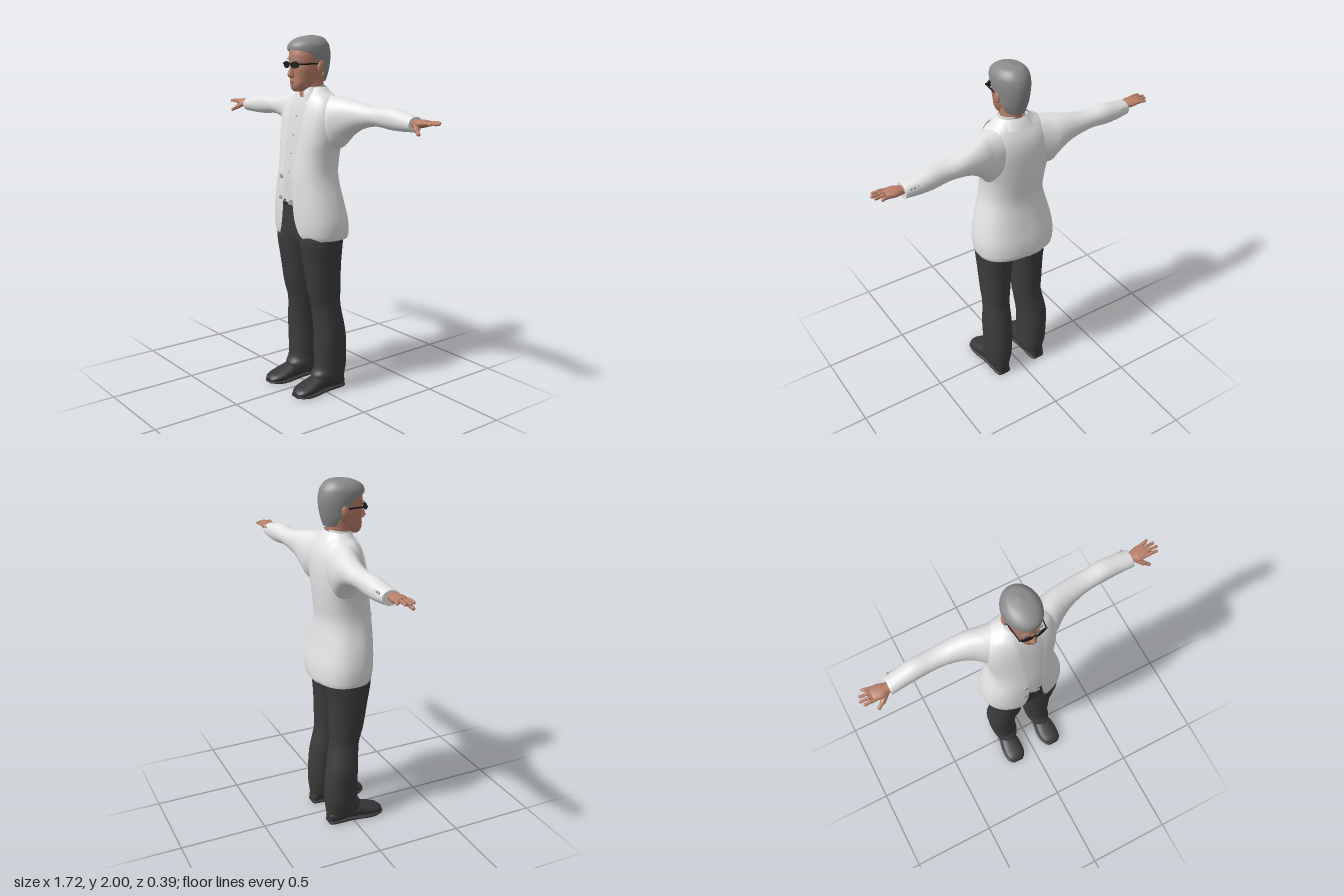
import * as THREE from 'three';
import { mergeVertices } from 'three/addons/utils/BufferGeometryUtils.js';

const mat = (name, color, side = THREE.FrontSide) => {
  const m = new THREE.MeshStandardMaterial({ color, side });
  m.name = name;
  return m;
};
const pw = (v, p) => Math.sign(v) * Math.abs(v) ** p;

// Catmull-Rom sample of a table of cross-sections
function sample(rows, u) {
  const n = rows.length - 1, f = u * n, i = Math.min(Math.floor(f), n - 1), t = f - i;
  const [a, b, c, d] = [-1, 0, 1, 2].map(k => rows[Math.min(n, Math.max(0, i + k))]);
  return b.map((_, k) => b[k] + 0.5 * t * (c[k] - a[k]
    + t * (2 * a[k] - 5 * b[k] + 4 * c[k] - d[k] + t * (3 * (b[k] - c[k]) + d[k] - a[k]))));
}

// Lofted skin. Row: [s, aMin, aMax, bMin, bMax, ...]; s runs along the axis.
// A span gives the angles of an open shell; without one the loft is closed and capped.
function loft(rows, { axis = 'y', p = 1, nu = 36, span, grow = 0, tilt = 0 } = {}) {
  const pos = [], idx = [], nv = (rows.length - 1) * 5;
  const rings = [];
  for (let j = 0; j <= nv; j++) rings.push([sample(rows, j / nv), 1]);
  if (!span) {
    const first = rings[0][0], last = rings[nv][0];
    rings.unshift([first, 0.001], [first, 0.94]);
    rings.push([last, 0.94], [last, 0.001]);
  }
  for (const [r, k] of rings) {
    const [s, a0, a1, b0, b1] = r;
    const [t0, t1] = span ? span(r) : [0, Math.PI * 2];
    for (let i = 0; i <= nu; i++) {
      const t = t0 + (t1 - t0) * i / nu;
      const a = (a0 + a1) / 2 + ((a1 - a0) / 2 + grow) * k * pw(Math.sin(t), p);
      const b = (b0 + b1) / 2 + ((b1 - b0) / 2 + grow) * k * pw(Math.cos(t), p);
      if (axis === 'y') pos.push(a, s + tilt * b, b);
      else if (axis === 'x') pos.push(s, b, a);
      else pos.push(b, a, s);
    }
  }
  const flip = rows[0][0] > rows[rows.length - 1][0], w = nu + 1;
  for (let j = 0; j < rings.length - 1; j++) for (let i = 0; i < nu; i++) {
    const a = j * w + i, b = a + 1, c = b + w, d = a + w;
    if (flip) idx.push(a, c, b, a, d, c); else idx.push(a, b, c, a, c, d);
  }
  let g = new THREE.BufferGeometry();
  g.setAttribute('position', new THREE.Float32BufferAttribute(pos, 3));
  g.setIndex(idx);
  g = mergeVertices(g, 1e-5);
  g.computeVertexNormals();
  return g;
}
// symmetric row: y, half width, back z, front z, extras
const sym = ([y, w, z0, z1, ...more]) => [y, -w, w, z0, z1, ...more];

export function createModel() {
  const M = {
    jacket: mat('jacket white', 0xe3e3e3, THREE.DoubleSide),
    shirt: mat('shirt white', 0xdcdcdc, THREE.DoubleSide),
    trousers: mat('charcoal', 0x3c3c3c),
    shoes: mat('shoe leather', 0x38383a),
    skin: mat('skin', 0xb98069),
    hair: mat('grey hair', 0x8b8b8b, THREE.DoubleSide),
    dark: mat('dark glass', 0x1d1d1f),
    lips: mat('lips', 0x97604f),
    button: mat('button grey', 0xa8a8a8),
  };
  const root = new THREE.Group();
  const add = (name, geo, m, x = 0, y = 0, z = 0) => {
    const mesh = new THREE.Mesh(geo, m);
    mesh.name = name;
    mesh.position.set(x, y, z);
    root.add(mesh);
    return mesh;
  };
  const box = (name, w, h, d, m, x, y, z) => add(name, new THREE.BoxGeometry(w, h, d), m, x, y, z);
  const ball = (name, sx, sy, sz, m, x, y, z) =>
    add(name, new THREE.SphereGeometry(1, 20, 14).scale(sx, sy, sz), m, x, y, z);
  const capsule = (name, a, b, r, m) => {
    const d = new THREE.Vector3().subVectors(b, a), mesh = add(name, new THREE.CapsuleGeometry(r, d.length(), 5, 10), m);
    mesh.position.addVectors(a, b).multiplyScalar(0.5);
    mesh.quaternion.setFromUnitVectors(new THREE.Vector3(0, 1, 0), d.normalize());
  };

  // Jacket: y, x range, z range, right and left front edge, lapel width
  const P = 0.85;
  const jacket = [
    [0.9, -0.235, 0.225, -0.19, 0.13, 0.105, 0.12, 0],
    [0.93, -0.24, 0.232, -0.195, 0.14, 0.078, 0.092, 0],
    [1.0, -0.24, 0.232, -0.19, 0.146, 0.05, 0.065, 0],
    [1.1, -0.222, 0.212, -0.17, 0.148, 0.036, 0.05, 0],
    [1.24, -0.185, 0.175, -0.148, 0.145, 0.036, 0.045, 0.003],
    [1.35, -0.186, 0.172, -0.156, 0.13, 0.045, 0.052, 0.035],
    [1.45, -0.205, 0.19, -0.163, 0.113, 0.052, 0.062, 0.058],
    [1.55, -0.213, 0.2, -0.163, 0.094, 0.057, 0.072, 0.068],
    [1.62, -0.2, 0.19, -0.15, 0.076, 0.06, 0.077, 0.054],
    [1.67, -0.165, 0.16, -0.125, 0.056, 0.066, 0.076, 0.035],
    [1.7, -0.115, 0.115, -0.105, 0.036, 0.068, 0.072, 0.02],
    [1.725, -0.085, 0.085, -0.088, 0.02, 0.065, 0.068, 0.01],
  ];
  // angle at which the front reaches a distance x from the centre, on side s
  const angle = (r, x, s) => {
    const ratio = Math.min(0.97, Math.max(0, (x - s * (r[1] + r[2]) / 2) / ((r[2] - r[1]) / 2)));
    return Math.asin(ratio ** (1 / P));
  };
  const TAU = Math.PI * 2;
  add('jacketBody', loft(jacket, { p: P, nu: 60, span: r => [angle(r, r[6], 1), TAU - angle(r, r[5], -1)] }), M.jacket);
  const lapelRows = jacket.slice(4);
  add('leftLapel', loft(lapelRows, { p: P, nu: 8, grow: 0.007, span: r => [angle(r, r[6], 1), angle(r, r[6] + r[7], 1)] }), M.jacket);
  add('rightLapel', loft(lapelRows, { p: P, nu: 8, grow: 0.007, span: r => [TAU - angle(r, r[5] + r[7], -1), TAU - angle(r, r[5], -1)] }), M.jacket);
  add('backVent', loft(jacket.slice(0, 4), { p: P, nu: 6, grow: 0.005, span: () => [Math.PI - 0.02, Math.PI + 0.3] }), M.jacket);
  add('jacketCollar', loft([[1.67, 0.125, -0.13, 0.06], [1.7, 0.1, -0.112, 0.048], [1.722, 0.085, -0.096, 0.035]].map(sym),
    { span: () => [0.85, TAU - 0.85], tilt: -0.08 }), M.jacket);
  for (const [x, y] of [[-0.052, 1.24], [-0.058, 1.12]])
    add('jacketButton', new THREE.CylinderGeometry(0.012, 0.012, 0.008, 16).rotateX(Math.PI / 2), M.button, x, y, 0.147);

  // Shirt
  const inset = jacket.slice(3, 11).map(([y, a, b, c, d]) => [y, a + 0.014, b - 0.014, c + 0.014, d - 0.012]);
  add('shirt', loft(inset, { p: P, nu: 48 }), M.shirt);
  add('shirtPlacket', loft(inset.slice(0, 7), { p: P, nu: 4, grow: 0.003, span: r => [-angle(r, 0.018, -1), angle(r, 0.018, 1)] }), M.shirt);
  [[1.17, 0.133], [1.27, 0.132], [1.37, 0.118], [1.47, 0.101], [1.57, 0.081]].forEach(([y, z]) =>
    ball('shirtButton', 0.005, 0.005, 0.004, M.button, 0, y, z));
  add('shirtCollar', loft([[1.66, 0.086, -0.094, 0.066], [1.695, 0.078, -0.09, 0.058], [1.728, 0.069, -0.088, 0.046]].map(sym),
    { span: r => [0.3 + (1.728 - r[0]) * 2, TAU - 0.3 - (1.728 - r[0]) * 2], tilt: -0.12 }), M.shirt);

  // Trousers, belt and legs
  add('trouserSeat', loft([[0.875, -0.19, 0.195, -0.13, 0.11], [0.93, -0.2, 0.205, -0.145, 0.122],
    [1.03, -0.195, 0.195, -0.145, 0.128], [1.11, -0.175, 0.175, -0.13, 0.13]], { p: P }), M.trousers);
  add('belt', loft([[1.08, -0.185, 0.185, -0.135, 0.135], [1.112, -0.182, 0.182, -0.135, 0.137]], { p: P }), M.shoes);
  box('beltBuckle', 0.034, 0.02, 0.008, M.button, 0.02, 1.098, 0.137);
  // y, inner x, outer x, back z, front z
  const legs = {
    right: [[0.06, 0.045, 0.18, -0.15, 0.06], [0.1, 0.035, 0.19, -0.155, 0.062], [0.14, 0.036, 0.195, -0.16, 0.04], [0.22, 0.034, 0.2, -0.16, 0.036],
      [0.35, 0.03, 0.207, -0.148, 0.036], [0.5, 0.015, 0.183, -0.12, 0.05], [0.6, 0.01, 0.188, -0.12, 0.076],
      [0.75, 0.006, 0.195, -0.124, 0.1], [0.88, 0.002, 0.202, -0.137, 0.12], [0.95, 0, 0.195, -0.14, 0.115]],
    left: [[0.06, 0.065, 0.19, -0.15, 0.06], [0.1, 0.055, 0.198, -0.155, 0.062], [0.14, 0.052, 0.2, -0.16, 0.04], [0.22, 0.046, 0.205, -0.16, 0.036],
      [0.35, 0.04, 0.21, -0.148, 0.036], [0.5, 0.042, 0.195, -0.12, 0.05], [0.6, 0.034, 0.197, -0.12, 0.076],
      [0.75, 0.02, 0.203, -0.124, 0.1], [0.88, 0.004, 0.21, -0.137, 0.12], [0.95, 0, 0.2, -0.14, 0.115]],
  };
  // z, top y, inner x, outer x
  const shoe = [[-0.145, 0.06, 0.09, 0.15], [-0.12, 0.085, 0.078, 0.165], [-0.03, 0.105, 0.075, 0.168], [0.03, 0.1, 0.068, 0.175],
    [0.08, 0.082, 0.061, 0.185], [0.13, 0.064, 0.063, 0.187], [0.17, 0.05, 0.077, 0.178], [0.192, 0.034, 0.1, 0.155]];
  const arm = [[0.08, -0.14, 0.05, 1.43, 1.69], [0.18, -0.155, 0.03, 1.4, 1.68], [0.22, -0.16, 0.01, 1.435, 1.675],
    [0.26, -0.16, -0.01, 1.475, 1.668], [0.32, -0.158, -0.03, 1.513, 1.655], [0.4, -0.155, -0.043, 1.535, 1.64],
    [0.46, -0.15, -0.045, 1.538, 1.637], [0.54, -0.15, -0.042, 1.53, 1.642], [0.62, -0.142, -0.038, 1.53, 1.628], [0.7, -0.128, -0.03, 1.535, 1.612]];

  for (const [side, s] of [['left', 1], ['right', -1]]) {
    const span = (a, b) => s > 0 ? [a, b] : [-b, -a];
    const shift = s > 0 ? 0.008 : 0;
    add(side + 'TrouserLeg', loft(legs[side].map(([y, a, b, c, d]) => [y, ...span(a, b), c, d]), { p: 0.92 }), M.trousers);
    add(side + 'Shoe', loft(shoe.map(([z, h, a, b]) => [z, 0.008, h, ...span(a + shift, b + shift)]), { axis: 'z', p: 0.85 }), M.shoes);
    add(side + 'Sole', loft(shoe.map(([z, , a, b]) => [z * 1.01, z > 0.16 ? 0.006 : 0, 0.018, ...span(a + shift - 0.004, b + shift + 0.004)]),
      { axis: 'z', p: 0.5 }), M.shoes);
    box(side + 'Heel', 0.075, 0.022, 0.07, M.shoes, s * (0.121 + shift), 0.011, -0.105);

    // Sleeve, cuff buttons and hand
    const dz = x => s > 0 ? -0.11 * Math.max(0, x - 0.2) : 0;
    add(side + 'Sleeve', loft(arm.map(([x, a, b, c, d]) => [s * x, a + dz(x), b + dz(x), c, d]), { axis: 'x', p: 0.95 }), M.jacket);
    for (const x of [0.635, 0.655, 0.675])
      ball(side + 'CuffButton', 0.007, 0.007, 0.005, M.button, s * x, 1.597, -0.131 + dz(x));
    const zc = s > 0 ? -0.134 : -0.07;
    const hand = [[0.68, -0.03, 0.03, 1.553, 1.6], [0.71, -0.03, 0.03, 1.558, 1.6], [0.74, -0.039, 0.042, 1.56, 1.603],
      [0.77, -0.042, 0.041, 1.566, 1.602], [0.79, -0.036, 0.036, 1.574, 1.599]];
    add(side + 'Palm', loft(hand.map(([x, a, b, c, d]) => [s * x, a + zc, b + zc, c, d]), { axis: 'x', nu: 20 }), M.skin);
    const v = (x, y, z) => new THREE.Vector3(s * x, y, zc + z);
    [[-0.031, -0.043, 0.822], [-0.01, -0.015, 0.845], [0.011, 0.01, 0.852], [0.031, 0.034, 0.838]].forEach(([z0, z1, x]) => {
      capsule(side + 'Finger', v(0.77, 1.585, z0), v(0.81, 1.59, (z0 + z1) / 2), 0.01, M.skin);
      capsule(side + 'Fingertip', v(0.805, 1.59, (z0 + z1) / 2), v(x, 1.588, z1), 0.008, M.skin);
    });
    capsule(side + 'ThumbBase', v(0.725, 1.575, 0.025), v(0.757, 1.555, 0.048), 0.014, M.skin);
    capsule(side + 'Thumb', v(0.757, 1.555, 0.048), v(0.785, 1.538, 0.062), 0.01, M.skin);

    // Ear, brow and glasses of this side
    ball(side + 'Ear', 0.012, 0.034, 0.021, M.skin, s * 0.086, 1.838, -0.02).rotation.x = -0.2;
    box(side + 'Brow', 0.042, 0.006, 0.008, M.hair, s * 0.037, 1.873, 0.105).rotation.y = s * 0.25;
    const lens = add(side + 'Lens', new THREE.CylinderGeometry(1, 1, 0.006, 24).rotateX(Math.PI / 2).scale(0.03, 0.018, 1),
      M.dark, s * 0.037, 1.845, 0.118);
    lens.rotation.y = s * 0.2;
    box(side + 'Temple', 0.005, 0.008, 0.135, M.dark, s * 0.079, 1.85, 0.042).rotation.y = -s * 0.12;
    box(side + 'FrameCorner', 0.014, 0.008, 0.006, M.dark, s * 0.068, 1.85, 0.111);
  }
  box('glassesBridge', 0.022, 0.006, 0.006, M.dark, 0, 1.85, 0.121);

  // Neck and head
  add('neck', loft([[1.6, 0.075, -0.09, 0.05], [1.68, 0.062, -0.09, 0.045], [1.73, 0.058, -0.09, 0.045], [1.79, 0.06, -0.095, 0.05]].map(sym)), M.skin);
  add('head', loft([[1.703, 0.022, 0.05, 0.09], [1.715, 0.037, 0.01, 0.104], [1.74, 0.054, -0.035, 0.11], [1.78, 0.067, -0.07, 0.108],
    [1.82, 0.076, -0.09, 0.11], [1.845, 0.079, -0.1, 0.108], [1.87, 0.083, -0.105, 0.112], [1.91, 0.085, -0.105, 0.108],
    [1.95, 0.074, -0.09, 0.09], [1.975, 0.05, -0.06, 0.055]].map(sym), { p: 0.93 }), M.skin);
  add('nose', loft([[1.775, 0.01, 0.09, 0.117], [1.785, 0.018, 0.09, 0.134], [1.8, 0.014, 0.09, 0.136],
    [1.83, 0.009, 0.09, 0.124], [1.865, 0.011, 0.09, 0.112]].map(sym), { nu: 16 }), M.skin);
  ball('mouth', 0.022, 0.006, 0.006, M.lips, 0, 1.755, 0.107);
  box('chinBeard', 0.007, 0.024, 0.006, M.hair, 0, 1.733, 0.109);

  // Hair: y, half width, back z, front z, z of the hairline
  const hair = [[1.755, 0.06, -0.106, 0.05, -0.06], [1.8, 0.08, -0.12, 0.08, -0.045], [1.85, 0.089, -0.13, 0.1, -0.005],
    [1.885, 0.094, -0.132, 0.11, 0.02], [1.908, 0.096, -0.131, 0.118, 0.06], [1.925, 0.096, -0.128, 0.122, 0.122],
    [1.95, 0.092, -0.12, 0.117, 0.117], [1.973, 0.077, -0.103, 0.09, 0.09], [1.99, 0.052, -0.08, 0.045, 0.045], [2.0, 0.001, -0.026, -0.024, -0.024]].map(sym);
  const hairline = r => {
    if (r[0] > 1.925) return [0, TAU];
    const t = Math.acos(Math.min(1, Math.max(-1, (r[5] - (r[3] + r[4]) / 2) / ((r[4] - r[3]) / 2))));
    return [t, TAU - t];
  };
  add('hair', loft(hair, { nu: 48, span: hairline }), M.hair);
  return root;
}
